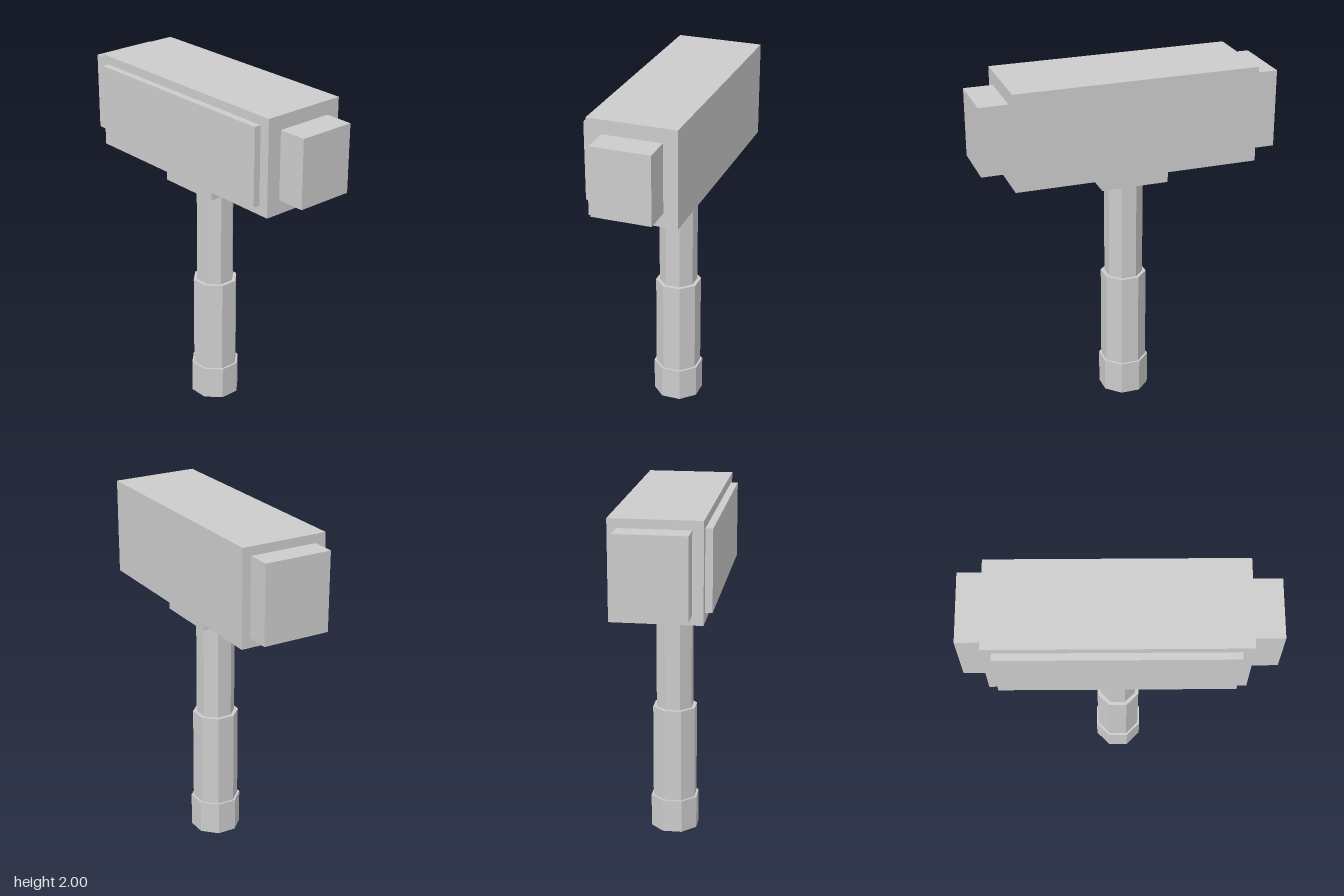
import * as THREE from 'three';

export function createModel() {
  const model = new THREE.Group();
  const grey = new THREE.MeshStandardMaterial({ color: 0xcccccc, flatShading: true });
  grey.name = 'grey';

  const add = (name, geometry, x, y, z) => {
    const mesh = new THREE.Mesh(geometry, grey);
    mesh.name = name;
    mesh.position.set(x, y, z);
    model.add(mesh);
  };

  // Box given by its extents on each axis
  const box = (name, [x0, x1], [y0, y1], [z0, z1]) =>
    add(name, new THREE.BoxGeometry(x1 - x0, y1 - y0, z1 - z0),
      (x0 + x1) / 2, (y0 + y1) / 2, (z0 + z1) / 2);

  // Upright octagonal prism with flats facing the axes
  const prism = (name, apothem, y0, y1) => {
    const r = apothem / Math.cos(Math.PI / 8);
    const geometry = new THREE.CylinderGeometry(r, r, y1 - y0, 8, 1, false, Math.PI / 8);
    add(name, geometry, -0.015, (y0 + y1) / 2, -0.018);
  };

  // Hammer head, its front plate and the two striking faces
  box('head', [-0.71, 0.68], [1.45, 2], [-0.27, 0.23]);
  box('frontPlate', [-0.655, 0.62], [1.505, 1.95], [0.23, 0.27]);
  box('rightStrikingFace', [-0.845, -0.71], [1.505, 1.95], [-0.22, 0.17]);
  box('leftStrikingFace', [0.68, 0.845], [1.53, 1.92], [-0.19, 0.145]);
  box('collar', [-0.21, 0.175], [1.365, 1.45], [-0.21, 0.175]);

  // Handle, widening towards the pommel
  prism('shaft', 0.102, 0.755, 1.365);
  prism('grip', 0.122, 0.197, 0.755);
  prism('pommel', 0.134, 0, 0.197);

  return model;
}
